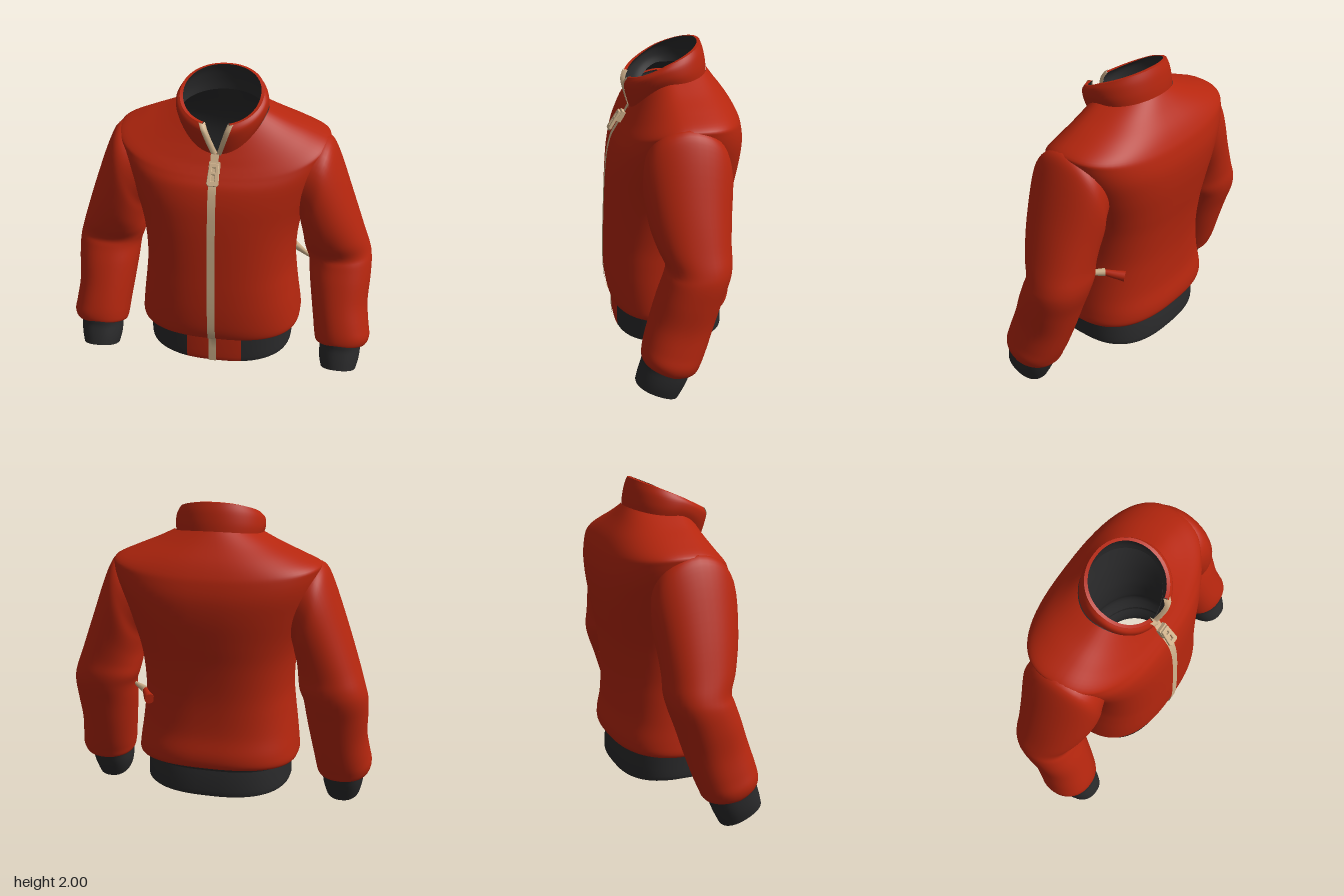
import * as THREE from 'three';
import { mergeVertices } from 'three/addons/utils/BufferGeometryUtils.js';

const mat = (name, color, side = THREE.FrontSide) => {
  const m = new THREE.MeshStandardMaterial({ color, side });
  m.name = name;
  return m;
};

// Smooth surface from fn(u, v); faces point along du x dv unless flipped
function grid(fn, nu, nv, flip = false) {
  const pos = [], idx = [];
  for (let j = 0; j <= nv; j++)
    for (let i = 0; i <= nu; i++) pos.push(...fn(i / nu, j / nv));
  for (let j = 0; j < nv; j++)
    for (let i = 0; i < nu; i++) {
      const a = j * (nu + 1) + i, b = a + 1, c = a + nu + 1, d = c + 1;
      if (flip) idx.push(a, c, b, b, c, d);
      else idx.push(a, b, c, b, d, c);
    }
  let g = new THREE.BufferGeometry();
  g.setAttribute('position', new THREE.Float32BufferAttribute(pos, 3));
  g.setIndex(idx);
  g = mergeVertices(g, 1e-5);
  g.computeVertexNormals();
  return g;
}

// Catmull-Rom blend through a list of cross-sections
function blend(rings, t) {
  const n = rings.length - 1, f = Math.min(t * n, n - 1e-9), i = Math.floor(f), k = f - i;
  const at = j => rings[Math.max(0, Math.min(n, j))];
  const [A, B, C, D] = [at(i - 1), at(i), at(i + 1), at(i + 2)];
  return B.map((b, q) => b + 0.5 * k * (C[q] - A[q] + k * (2 * A[q] - 5 * b + 4 * C[q] - D[q]
    + k * (3 * (b - C[q]) + D[q] - A[q]))));
}

// Section: [outerX, outerY, innerX, innerY, frontY, frontZ, backY, backZ, bend, squareness]
function point(r, a) {
  const [ox, oy, ix, iy, fy, fz, by, bz, p, n] = r;
  const pw = v => Math.sign(v) * Math.abs(v) ** (2 / n);
  const c = pw(Math.cos(a)), s = pw(Math.sin(a)), cy = (oy + iy) / 2;
  const dy = ((s > 0 ? fy : by) - cy) * Math.abs(s) ** p;
  return [(ox + ix) / 2 + c * (ox - ix) / 2, cy + c * (oy - iy) / 2 + dy,
    (fz + bz) / 2 + s * (fz - bz) / 2];
}
const TAU = Math.PI * 2, FRONT = Math.PI / 2;
const wide = (hw, y, fy, fz, by, bz, p = 2, n = 2.6) => [hw, y, -hw, y, fy, fz, by, bz, p, n];
const level = (hw, y, fz, bz, n = 2.6) => wide(hw, y, y, fz, y, bz, 2, n);
const inset = (r, d) => r.map((v, i) => v + ([-d, 0, d, 0, 0, -d, 0, d][i] || 0));
const shell = (rings, nu, nv, flip) => grid((u, v) => point(blend(rings, v), u * TAU), nu, nv, flip);

const BODY = [
  level(0.455, 0.335, 0.36, -0.3), level(0.505, 0.325, 0.395, -0.34), level(0.525, 0.35, 0.412, -0.37),
  level(0.52, 0.42, 0.425, -0.375), level(0.505, 0.54, 0.43, -0.355), level(0.488, 0.68, 0.428, -0.35),
  level(0.478, 0.82, 0.422, -0.355), level(0.49, 1.0, 0.413, -0.375), level(0.52, 1.15, 0.403, -0.4),
  wide(0.575, 1.32, 1.29, 0.387, 1.31, -0.423), wide(0.63, 1.48, 1.4, 0.36, 1.44, -0.428),
  wide(0.655, 1.59, 1.46, 0.328, 1.54, -0.412), wide(0.645, 1.637, 1.495, 0.306, 1.6, -0.39),
  wide(0.52, 1.695, 1.53, 0.284, 1.67, -0.35), wide(0.39, 1.748, 1.57, 0.262, 1.755, -0.285, 2, 2.4),
  wide(0.28, 1.8, 1.6, 0.245, 1.83, -0.23, 2, 2.1),
];
const BAND = [
  wide(0.45, 0.168, 0.143, 0.36, 0.138, -0.31), wide(0.472, 0.166, 0.14, 0.38, 0.135, -0.33),
  wide(0.472, 0.25, 0.25, 0.382, 0.25, -0.325), level(0.47, 0.345, 0.38, -0.31),
];
const COLLAR = [
  wide(0.272, 1.79, 1.585, 0.245, 1.82, -0.228, 2, 2.1),
  wide(0.282, 1.835, 1.67, 0.272, 1.88, -0.222, 1.6, 2.1),
  wide(0.276, 1.885, 1.75, 0.29, 1.95, -0.208, 1.2, 2.1),
  wide(0.255, 1.91, 1.795, 0.275, 2.0, -0.19, 1, 2.1),
];
const SLEEVE = [
  [0.58, 1.64, 0.43, 1.2, 1.4, 0.225, 1.4, -0.25],
  [0.662, 1.628, 0.485, 1.13, 1.36, 0.243, 1.36, -0.27],
  [0.725, 1.52, 0.505, 1.06, 1.27, 0.248, 1.27, -0.28],
  [0.83, 1.23, 0.52, 0.98, 1.09, 0.225, 1.09, -0.262],
  [0.91, 0.99, 0.528, 0.9, 0.95, 0.185, 0.95, -0.252],
  [0.953, 0.86, 0.54, 0.83, 0.85, 0.142, 0.85, -0.252],
  [0.97, 0.78, 0.565, 0.76, 0.79, 0.155, 0.76, -0.235],
  [0.972, 0.66, 0.578, 0.65, 0.68, 0.195, 0.63, -0.19],
  [0.967, 0.5, 0.6, 0.5, 0.54, 0.24, 0.47, -0.14],
  [0.985, 0.36, 0.622, 0.36, 0.41, 0.28, 0.32, -0.09],
  [0.998, 0.275, 0.635, 0.27, 0.33, 0.298, 0.235, -0.055],
  [0.975, 0.215, 0.65, 0.215, 0.28, 0.296, 0.185, -0.03],
  [0.93, 0.215, 0.69, 0.215, 0.27, 0.27, 0.19, 0.01],
].map(r => [...r, 1, 2.2]);
const CUFF = [
  [0.82, 0.3, 0.8, 0.3, 0.3, 0.17, 0.3, 0.15],
  [0.935, 0.27, 0.685, 0.27, 0.31, 0.285, 0.22, 0.0],
  [0.945, 0.2, 0.677, 0.2, 0.25, 0.3, 0.155, 0.01],
  [0.94, 0.12, 0.68, 0.12, 0.18, 0.322, 0.08, 0.04],
  [0.925, 0.06, 0.695, 0.06, 0.12, 0.338, 0.0, 0.08],
].map(r => [...r, 1, 2.3]);

export function createModel() {
  const red = mat('red fabric', 0xb5260e);
  const dark = mat('dark knit', 0x2a2a2b, THREE.DoubleSide);
  const tan = mat('tan zip', 0xd0b28c, THREE.DoubleSide);
  const model = new THREE.Group();
  model.name = 'jacket';
  const add = (name, geo, m, parent = model) => {
    const mesh = new THREE.Mesh(geo, m);
    mesh.name = name;
    parent.add(mesh);
    return mesh;
  };

  // Torso shell and dark lining
  add('torso', shell(BODY, 72, 75, true), red);
  const inner = [...BAND.slice(1, 3), ...BODY.slice(3)].map((r, i) => inset(r, i < 2 ? 0.022 : 0.02));
  add('lining', shell(inner, 64, 45, false), dark);

  // Hem band: knit around, fabric panel at the front
  const edge = Math.acos((0.18 / 0.472) ** 1.3);
  const hem = (from, to, nu) => grid((u, v) => point(blend(BAND, v), from + u * (to - from)), nu, 9, true);
  add('hemBand', hem(Math.PI - edge, TAU + edge, 60), dark);
  add('hemPanel', hem(edge, Math.PI - edge, 16), red);

  // Standing collar, open in a V at the front
  const gap = t => 0.31 * t;
  const collarAt = (t, a, d) => point(inset(blend(COLLAR, t), d), a);
  const around = (u, t) => FRONT + gap(t) + u * (TAU - 2 * gap(t));
  add('collar', grid((u, v) => collarAt(v, around(u, v), 0), 64, 12, true), red);
  add('collarLining', grid((u, v) => collarAt(v, around(u, v), 0.02), 64, 12), dark);
  add('collarRim', grid((u, v) => collarAt(1, around(u, 1), 0.02 * v), 64, 1, true), red);

  // Zip tape down the front and along both collar edges
  const tape = [[0.138, 0.388], [0.24, 0.39], [0.325, 0.388]];
  for (let i = 6; i <= 60; i++) {
    const [, y, z] = point(blend(BODY, i / 60), FRONT);
    tape.push([y, z + 0.007]);
  }
  const rows = tape.length - 1;
  add('frontZip', grid((u, v) => {
    const [y, z] = tape[Math.round(v * rows)];
    return [-0.008 + (u - 0.5) * 0.05, y, z];
  }, 2, rows), tan);
  for (const s of [1, -1])
    add(s > 0 ? 'rightCollarZip' : 'leftCollarZip', grid((u, v) => {
      const a = gap(v) + (u < 0.4 ? 0.08 : -0.02);
      return collarAt(v, FRONT + s * a, u < 0.8 ? -0.007 : 0.024);
    }, 2, 12), tan);

  // Zip slider and hanging pull
  const pull = new THREE.Group();
  pull.name = 'zipPull';
  pull.position.set(-0.003, 1.5, 0.338);
  pull.rotation.x = -0.57;
  model.add(pull);
  const plate = new THREE.Shape([[-0.026, 0.065], [-0.034, -0.055], [-0.026, -0.066],
    [0.026, -0.066], [0.034, -0.055], [0.026, 0.065]].map(p => new THREE.Vector2(...p)));
  for (const [y, h] of [[0.03, 0.014], [-0.02, 0.022]])
    plate.holes.push(new THREE.Path([[-0.013, y - h], [-0.013, y + h], [0.013, y + h], [0.013, y - h]]
      .map(p => new THREE.Vector2(...p))));
  add('pullPlate', new THREE.ExtrudeGeometry(plate,
    { depth: 0.012, bevelEnabled: true, bevelSize: 0.003, bevelThickness: 0.003, bevelSegments: 1 }), tan, pull);
  add('slider', new THREE.BoxGeometry(0.066, 0.07, 0.03), tan, pull).position.set(0, 0.045, -0.015);

  // Sleeves and knit cuffs
  for (const s of [1, -1]) {
    const name = s > 0 ? 'left' : 'right';
    const limb = (rings, nv) => grid((u, v) => {
      const [x, y, z] = point(blend(rings, v), u * TAU);
      return [s * x, y, z];
    }, 40, nv, s < 0);
    add(name + 'Sleeve', limb(SLEEVE, 60), red);
    add(name + 'Cuff', limb(CUFF, 16), dark);
  }

  // Side pocket tab: tan zip end tapering outward, red fold behind it
  const spike = (name, m, a, b, ra, rb) => {
    const A = new THREE.Vector3(...a), B = new THREE.Vector3(...b), d = B.clone().sub(A);
    const mesh = add(name, new THREE.CylinderGeometry(rb, ra, d.length(), 10), m);
    mesh.position.copy(A).add(B).multiplyScalar(0.5);
    mesh.quaternion.setFromUnitVectors(new THREE.Vector3(0, 1, 0), d.normalize());
  };
  spike('pocketZip', tan, [0.455, 0.752, -0.16], [0.575, 0.752, -0.03], 0.026, 0.01);
  spike('pocketFold', red, [0.395, 0.735, -0.27], [0.46, 0.752, -0.155], 0.034, 0.02);

  return model;
}
